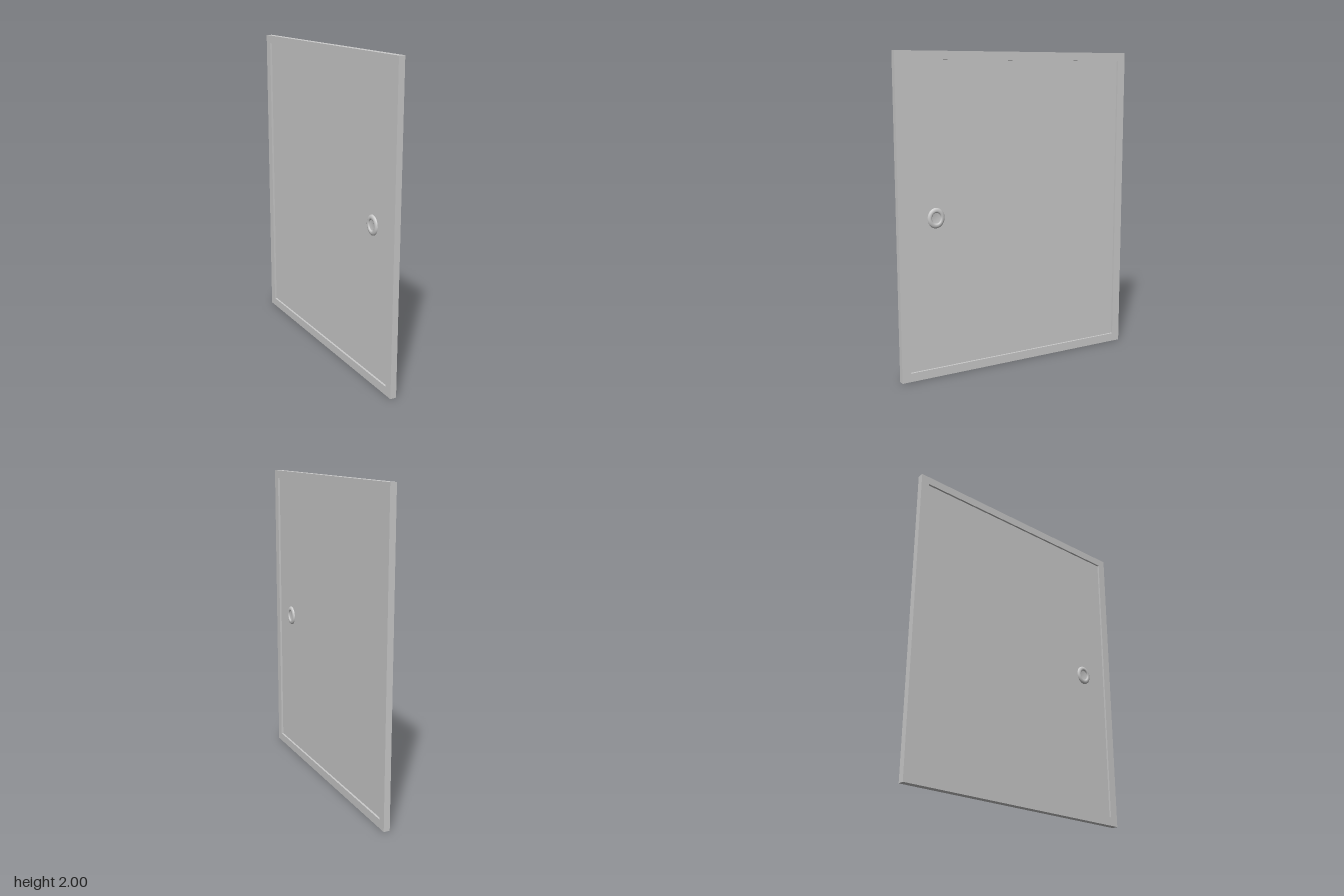
import * as THREE from 'three';

const HALF_X = 0.02, HALF_Z = 0.82, HEIGHT = 2;
const OPEN_Z = 0.765, OPEN_Y0 = 0.055, OPEN_Y1 = 1.948;
const PANEL_X = 0.007;

const rectangle = (Type, w, y0, y1) => new Type([
  new THREE.Vector2(-w, y0), new THREE.Vector2(w, y0),
  new THREE.Vector2(w, y1), new THREE.Vector2(-w, y1),
]);

export function createModel() {
  const group = new THREE.Group();
  const flat = new THREE.MeshStandardMaterial({ color: 0xcccccc, flatShading: true });
  const smooth = new THREE.MeshStandardMaterial({ color: 0xcccccc, side: THREE.DoubleSide });

  const add = (name, geometry, material) => {
    const mesh = new THREE.Mesh(geometry, material);
    mesh.name = name;
    group.add(mesh);
    return mesh;
  };

  // Raised border, one piece with a rectangular opening
  const outline = rectangle(THREE.Shape, HALF_Z, 0, HEIGHT);
  outline.holes.push(rectangle(THREE.Path, OPEN_Z, OPEN_Y0, OPEN_Y1));
  const frame = new THREE.ExtrudeGeometry(outline, { depth: 2 * HALF_X, bevelEnabled: false });
  frame.translate(0, 0, -HALF_X).rotateY(Math.PI / 2);
  add('frame', frame, flat);

  // Thin panel set back from both faces
  const panel = new THREE.BoxGeometry(2 * PANEL_X, OPEN_Y1 - OPEN_Y0, 2 * OPEN_Z);
  panel.translate(0, (OPEN_Y0 + OPEN_Y1) / 2, 0);
  add('panel', panel, flat);

  // Oval finger pull on each face: rounded rim around a sunken centre
  const rim = [
    [0.056, 0], [0.055, 0.005], [0.051, 0.009], [0.045, 0.012],
    [0.038, 0.0125], [0.033, 0.011], [0.03, 0.007], [0.029, 0.002], [0, 0.002],
  ].map(([r, h]) => new THREE.Vector2(r, h));
  for (const side of [1, -1]) {
    const pull = new THREE.LatheGeometry(rim.slice().reverse(), 24);
    pull.rotateZ(-side * Math.PI / 2).scale(1, 1.13, 1);
    const mesh = add(side > 0 ? 'leftPull' : 'rightPull', pull, smooth);
    mesh.position.set(side * PANEL_X, 1.005, 0.572);
  }
  return group;
}
